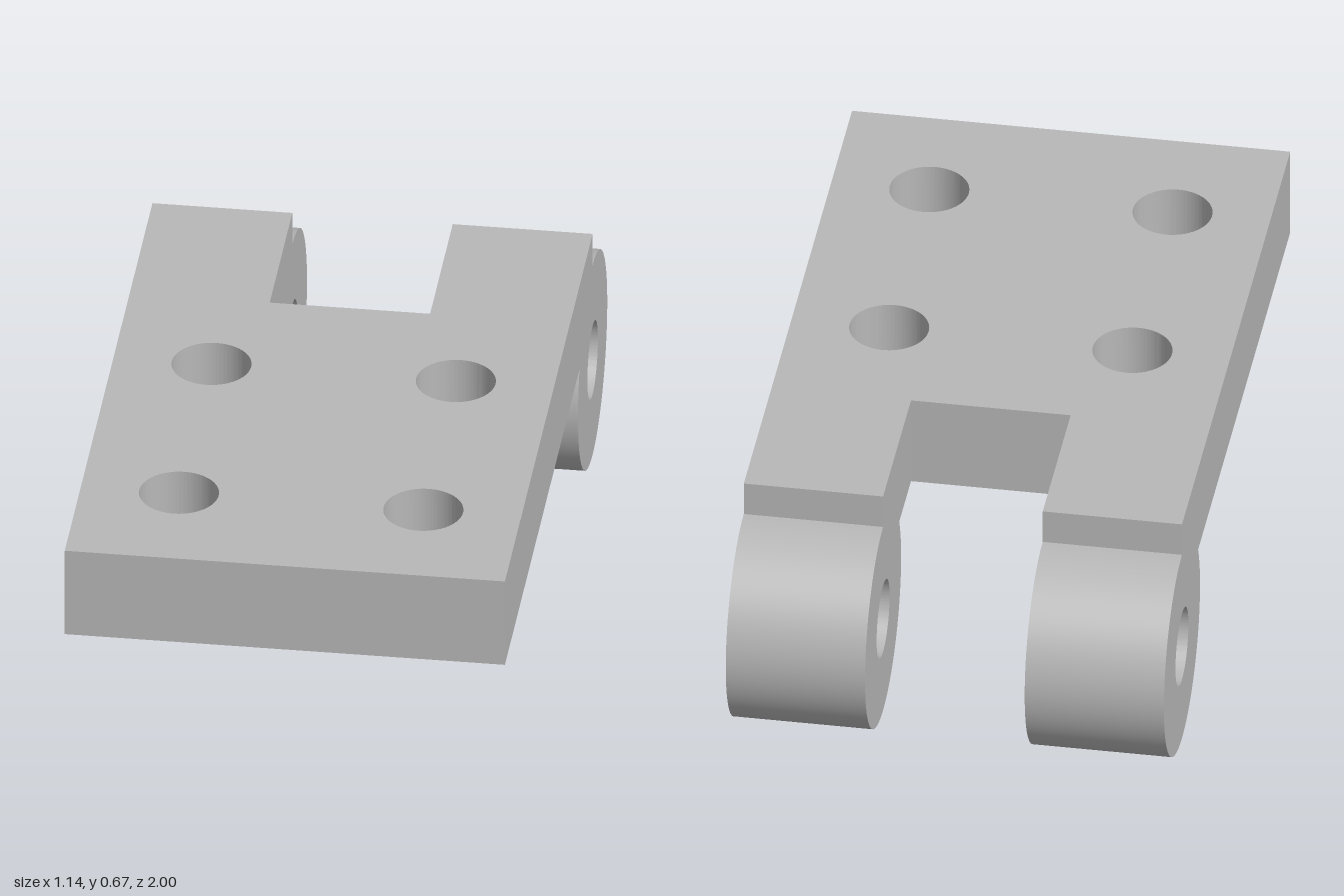
import * as THREE from 'three';
import { toCreasedNormals } from 'three/addons/utils/BufferGeometryUtils.js';

const HALF_W = 0.571, SLOT = 0.208, SLOT_Z = -0.272;   // outline of the leaf
const BOTTOM = 0.415, TOP = 0.667;                     // leaf thickness
const R = 0.286, PIN_Z = -0.714, HOLE = 0.103;         // knuckle barrel and bores

function addHole(shape, x, y) {
  const hole = new THREE.Path();
  hole.absarc(x, y, HOLE, 0, Math.PI * 2, true);
  shape.holes.push(hole);
}

function extrude(shape, depth) {
  return new THREE.ExtrudeGeometry(shape, { depth, bevelEnabled: false, curveSegments: 64 });
}

export function createModel() {
  const group = new THREE.Group();
  const steel = new THREE.MeshStandardMaterial({ color: 0xb8b8b8 });
  steel.name = 'grey steel';

  const add = (name, geometry) => {
    const mesh = new THREE.Mesh(toCreasedNormals(geometry, 0.4), steel);
    mesh.name = name;
    group.add(mesh);
  };

  // Flat leaf with four screw holes, drawn in x / -z
  const leaf = new THREE.Shape([
    new THREE.Vector2(-HALF_W, -1), new THREE.Vector2(HALF_W, -1),
    new THREE.Vector2(HALF_W, -SLOT_Z), new THREE.Vector2(-HALF_W, -SLOT_Z),
  ]);
  for (const x of [-0.317, 0.317]) for (const z of [0.045, 0.68]) addHole(leaf, x, -z);
  add('leafPlate', extrude(leaf, TOP - BOTTOM).rotateX(-Math.PI / 2).translate(0, BOTTOM, 0));

  // Arm ending in a bored knuckle, drawn in z / y
  const meet = Math.asin((BOTTOM - R) / R);   // where the barrel meets the underside
  const arm = new THREE.Shape();
  arm.moveTo(SLOT_Z, BOTTOM);
  arm.lineTo(SLOT_Z, TOP);
  arm.lineTo(PIN_Z, TOP);
  arm.lineTo(PIN_Z, 2 * R);
  arm.absarc(PIN_Z, R, R, Math.PI / 2, Math.PI * 2 + meet, false);
  arm.closePath();
  addHole(arm, PIN_Z, R);

  // Extrusion runs towards -x from the given outer face
  for (const [name, x] of [['leftKnuckle', HALF_W], ['rightKnuckle', -SLOT]]) {
    add(name, extrude(arm, HALF_W - SLOT).rotateY(-Math.PI / 2).translate(x, 0, 0));
  }
  return group;
}
